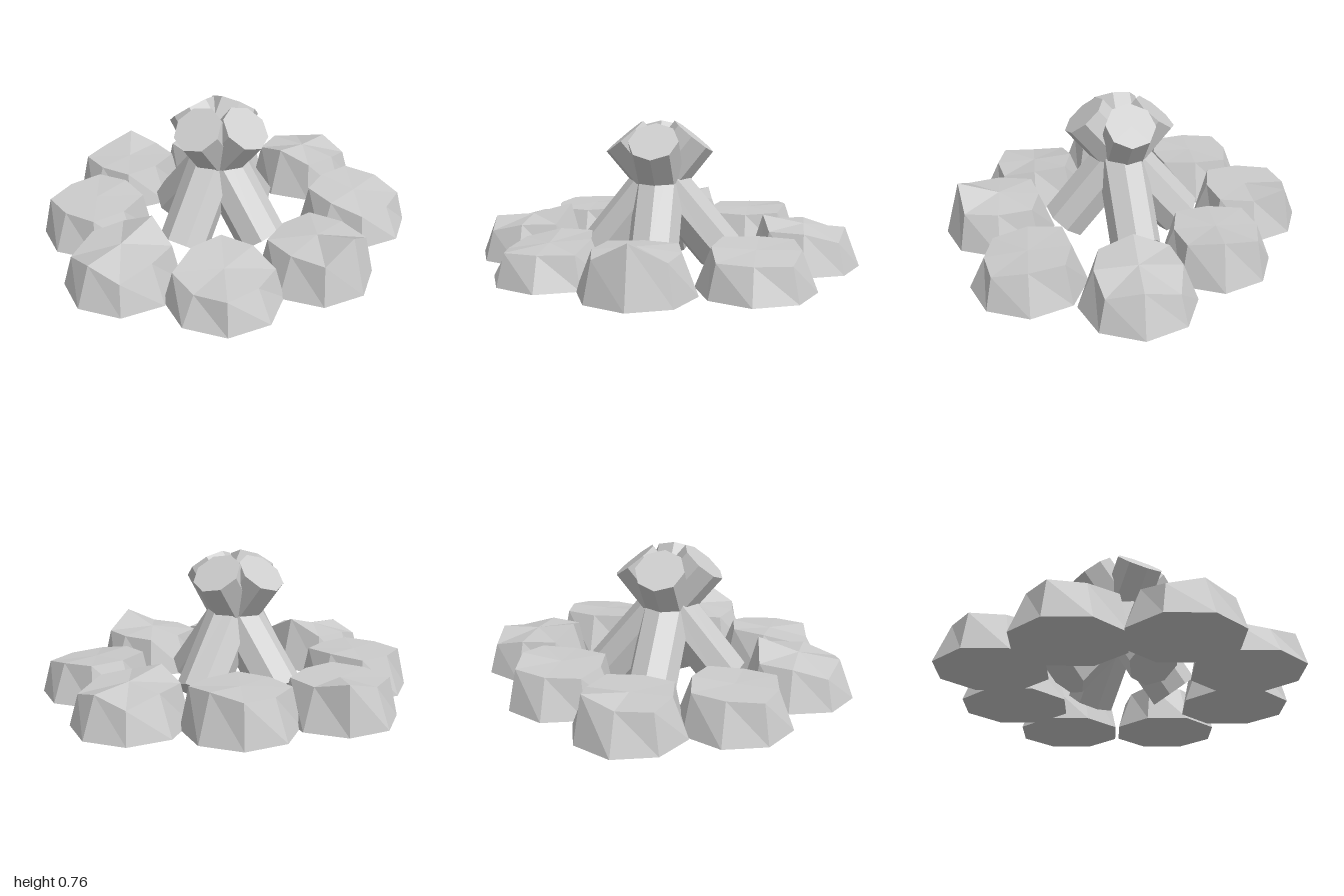
import * as THREE from 'three';

const material = new THREE.MeshStandardMaterial({ color: 0xcccccc, flatShading: true });
const BASE_Y = 0.045;

// Faceted stone: octagonal foot, squarish upper ring with its own heights, gently domed top.
// Heights run from +x through +z, -x and -z in steps of 45 degrees.
function stoneGeometry(heights) {
  const foot = [], rim = [];
  for (let k = 0; k < 8; k++) {
    const a = k * Math.PI / 4, c = Math.cos(a), s = Math.sin(a);
    const r = k % 2 ? 0.24 : 0.207;
    foot.push([0.284 * c, 0, 0.284 * s]);
    rim.push([r * c, heights[k] - BASE_Y, r * s]);
  }
  const topY = (heights[0] + heights[2] + heights[4] + heights[6]) / 4 - BASE_Y;
  const top = [0, topY, 0], bottom = [0, 0, 0], pos = [];
  for (let k = 0; k < 8; k++) {
    const n = (k + 1) % 8;
    pos.push(...top, ...rim[n], ...rim[k]);
    pos.push(...foot[k], ...rim[k], ...rim[n], ...foot[k], ...rim[n], ...foot[n]);
    pos.push(...bottom, ...foot[k], ...foot[n]);
  }
  const g = new THREE.BufferGeometry();
  g.setAttribute('position', new THREE.Float32BufferAttribute(pos, 3));
  g.computeVertexNormals();
  return g;
}

// Octagonal log between the centres of its two ends
function makeLog(foot, head) {
  const a = new THREE.Vector3(...foot), b = new THREE.Vector3(...head);
  const dir = b.clone().sub(a);
  const log = new THREE.Mesh(new THREE.CylinderGeometry(0.127, 0.127, dir.length(), 8), material);
  log.position.copy(a).add(b).multiplyScalar(0.5);
  log.quaternion.setFromUnitVectors(new THREE.Vector3(0, 1, 0), dir.normalize());
  log.name = 'log';
  return log;
}

export function createModel() {
  const model = new THREE.Group();
  model.name = 'campfire';

  // Ring of stones: x, z, rim heights
  const stones = new THREE.Group();
  stones.name = 'stoneRing';
  const layout = [
    [0.01, -0.715, [0.245, 0.245, 0.295, 0.245, 0.245, 0.2, 0.245, 0.2]],
    [0.51, -0.5, [0.208, 0.208, 0.24, 0.25, 0.25, 0.25, 0.24, 0.208]],
    [0.655, 0.03, [0.33, 0.24, 0.245, 0.245, 0.245, 0.245, 0.245, 0.24]],
    [0.465, 0.49, [0.208, 0.205, 0.185, 0.205, 0.245, 0.25, 0.245, 0.208]],
    [0.01, 0.71, [0.245, 0.2, 0.245, 0.2, 0.245, 0.245, 0.325, 0.245]],
    [-0.435, 0.475, [0.24, 0.24, 0.24, 0.24, 0.245, 0.25, 0.26, 0.25]],
    [-0.66, 0.03, [0.245, 0.245, 0.245, 0.24, 0.24, 0.285, 0.245, 0.245]],
    [-0.41, -0.405, [0.245, 0.245, 0.245, 0.245, 0.245, 0.255, 0.275, 0.255]],
  ];
  for (const [x, z, heights] of layout) {
    const stone = new THREE.Mesh(stoneGeometry(heights), material);
    stone.name = 'stone';
    stone.position.set(x, BASE_Y, z);
    stones.add(stone);
  }

  // Four logs leaning across one another
  const logs = new THREE.Group();
  logs.name = 'logs';
  logs.add(
    makeLog([-0.03, 0.09, -0.285], [0.04, 0.69, 0.205]),
    makeLog([0.045, 0.085, 0.33], [-0.02, 0.69, -0.145]),
    makeLog([-0.295, 0.09, 0.02], [0.2, 0.685, 0.03]),
    makeLog([0.31, 0.09, 0.02], [-0.165, 0.685, 0.03]),
  );

  model.add(stones, logs);
  return model;
}
